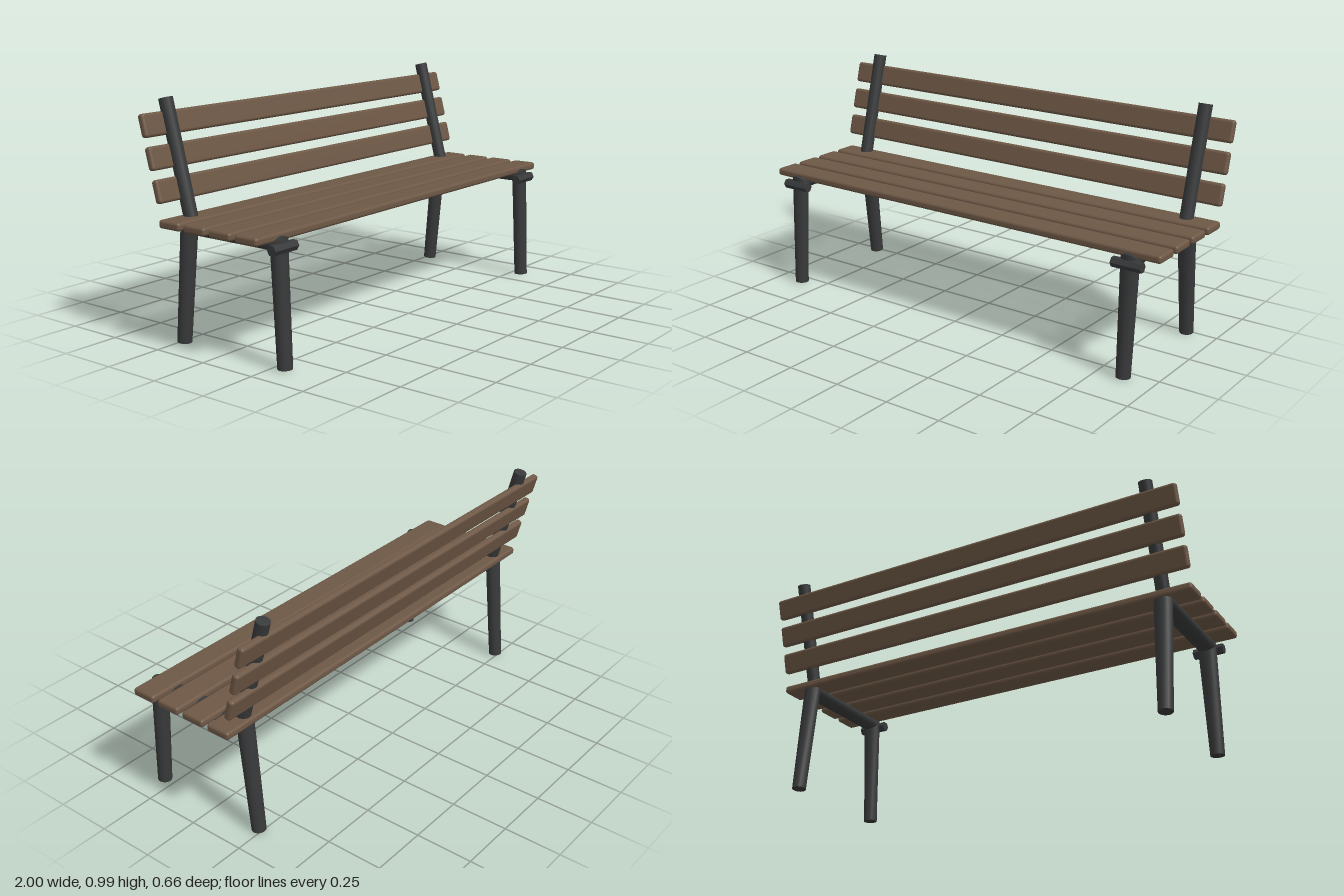
import * as THREE from 'three';
import { RoundedBoxGeometry } from 'three/addons/geometries/RoundedBoxGeometry.js';

const SIDES = 16;

// Mitred tube along a path of {y, z, rx}; oval section, sharp joints, flat end caps
function frameGeometry(path, r) {
  const V = (p, q) => new THREE.Vector2(q.y - p.y, q.z - p.z).normalize();
  const rings = path.map((p, j) => {
    const a = V(path[Math.max(j - 1, 0)], path[Math.max(j, 1)]);
    const b = j < path.length - 1 ? V(p, path[j + 1]) : a;
    const k = r / (1 + a.dot(b)); // lengthens the offset at a mitre
    const ny = (a.y + b.y) * k, nz = -(a.x + b.x) * k;
    return Array.from({ length: SIDES }, (_, i) => {
      const t = (i / SIDES) * Math.PI * 2;
      return [p.rx * Math.cos(t), p.y + ny * Math.sin(t), p.z + nz * Math.sin(t)];
    });
  });
  const pos = [], index = [];
  const add = (ring) => { const s = pos.length / 3; ring.forEach((v) => pos.push(...v)); return s; };
  for (let j = 0; j < rings.length - 1; j++) {
    const a = add(rings[j]), b = add(rings[j + 1]);
    for (let i = 0; i < SIDES; i++) {
      const n = (i + 1) % SIDES;
      index.push(a + i, a + n, b + n, a + i, b + n, b + i);
    }
  }
  const first = add(rings[0]), last = add(rings[rings.length - 1]);
  for (let i = 1; i < SIDES - 1; i++) {
    index.push(first, first + i + 1, first + i, last, last + i, last + i + 1);
  }
  const g = new THREE.BufferGeometry();
  g.setAttribute('position', new THREE.Float32BufferAttribute(pos, 3));
  g.setIndex(index);
  g.computeVertexNormals();
  return g;
}

export function createModel() {
  const wood = new THREE.MeshStandardMaterial({ name: 'brown wood', color: 0x6e5846 });
  const metal = new THREE.MeshStandardMaterial({ name: 'dark metal', color: 0x38393a });
  const bench = new THREE.Group();
  bench.name = 'bench';
  const add = (parent, name, geometry, material, x, y, z) => {
    const m = new THREE.Mesh(geometry, material);
    m.name = name;
    m.position.set(x, y, z);
    parent.add(m);
    return m;
  };

  // Seat slats
  const seatGeo = new RoundedBoxGeometry(2, 0.034, 0.11, 3, 0.012);
  [0.231, 0.098, -0.035, -0.168].forEach((z, i) =>
    add(bench, `seatSlat${i + 1}`, seatGeo, wood, 0, 0.512, z));

  // Backrest slats, fixed to the rear of the posts
  const tilt = -0.26;
  const backGeo = new RoundedBoxGeometry(2, 0.094, 0.031, 3, 0.012);
  [[0.635, -0.231], [0.76, -0.264], [0.885, -0.297]].forEach(([y, z], i) => {
    add(bench, `backSlat${i + 1}`, backGeo, wood, 0, y, z).rotation.x = tilt;
  });

  // Side frames: legs and rail in one bent tube, back post and hexagonal foot-end bolt
  const legs = frameGeometry([
    { y: 0.003, z: 0.3, rx: 0.03 },
    { y: 0.485, z: 0.278, rx: 0.04 },
    { y: 0.485, z: -0.19, rx: 0.04 },
    { y: 0.003, z: -0.235, rx: 0.03 },
  ], 0.03);
  const post = new THREE.CylinderGeometry(0.029, 0.029, 0.52, SIDES);
  const bolt = new THREE.CylinderGeometry(0.022, 0.022, 0.132, 6).toNonIndexed();
  bolt.computeVertexNormals();
  for (const [side, x] of [['left', 0.866], ['right', -0.866]]) {
    const frame = new THREE.Group();
    frame.name = `${side}Frame`;
    frame.position.x = x;
    bench.add(frame);
    add(frame, 'legsAndRail', legs, metal, 0, 0, 0);
    add(frame, 'backPost', post, metal, 0, 0.731, -0.235).rotation.x = tilt;
    add(frame, 'frontBolt', bolt, metal, 0, 0.472, 0.298).rotation.z = Math.PI / 2;
  }
  return bench;
}
